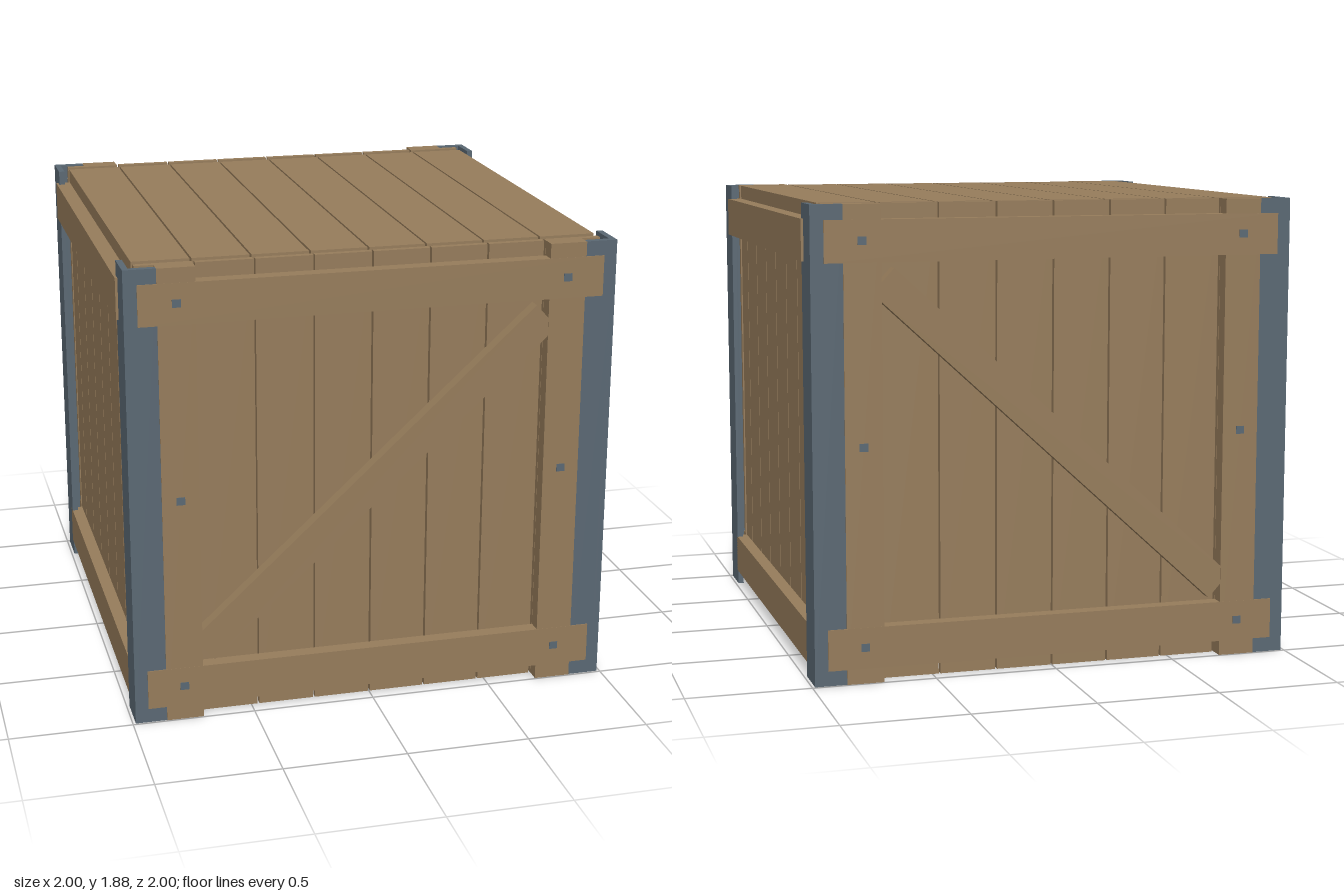
import * as THREE from 'three';

export function createModel() {
  const wood = new THREE.MeshStandardMaterial({ color: 0x967c5b });
  wood.name = 'brown wood';
  const metal = new THREE.MeshStandardMaterial({ color: 0x5a6873 });
  metal.name = 'grey steel';
  const crate = new THREE.Group();
  crate.name = 'crate';

  // box given by its minimum and maximum on each axis
  function block(name, material, [x0, x1], [y0, y1], [z0, z1]) {
    const mesh = new THREE.Mesh(new THREE.BoxGeometry(x1 - x0, y1 - y0, z1 - z0), material);
    mesh.position.set((x0 + x1) / 2, (y0 + y1) / 2, (z0 + z1) / 2);
    mesh.name = name;
    crate.add(mesh);
    return mesh;
  }
  // range lying on the positive or negative side of an axis
  const side = (s, a, b) => (s > 0 ? [a, b] : [-b, -a]);

  const H = 1.88, pitch = 0.235, gap = 0.004;
  const face = 0.937; // outer surface of the planks
  // the eight plank spans across a face, the outer ones trimmed to the limit
  function spans(limit) {
    const list = [];
    for (let i = -4; i < 4; i++) {
      list.push([Math.max(i * pitch + gap, -limit), Math.min((i + 1) * pitch - gap, limit)]);
    }
    return list;
  }

  // inner box behind the planks, raised off the ground
  block('innerBox', wood, [-0.87, 0.87], [0.06, 1.82], [-0.87, 0.87]);

  // lid planks
  for (const x of spans(face)) block('lidPlank', wood, x, [1.82, H], [-0.87, 0.87]);

  for (const s of [1, -1]) {
    // wall planks: end panels stand slightly clear of the box
    for (const x of spans(face)) block('endPlank', wood, x, [0, H], side(s, 0.91, face));
    for (const z of spans(0.87)) block('sidePlank', wood, side(s, 0.875, face), [0, 1.82], z);

    // horizontal battens
    for (const y of [[0.06, 0.225], [1.655, 1.82]]) {
      block('endBatten', wood, [-0.935, 0.935], y, side(s, face, 0.996));
    }
    block('lowerSideBatten', wood, side(s, face, 0.988), [0.06, 0.225], [-0.87, 0.87]);
    block('upperSideBatten', wood, side(s, face, 0.998), [1.655, 1.82], [-0.87, 0.87]);

    // diagonal brace, running up toward +x on both ends
    const brace = block('diagonalBrace', wood, [-0.955, 0.955], [0.875, 1.005], side(s, face, 0.993));
    brace.rotation.z = 0.742;

    for (const t of [1, -1]) {
      // upright posts of the end frames
      block('endPost', wood, side(t, 0.71, 0.86), [0, H], side(s, face, 0.995));

      // square bolt heads
      for (const y of [0.145, 0.94, 1.74]) {
        block('boltHead', metal, side(t, 0.768, 0.803), [y - 0.016, y + 0.016], side(s, 0.992, 0.9975));
      }

      // L-shaped steel corner
      block('cornerEndLeg', metal, side(t, 0.86, 0.988), [0, H], side(s, 0.965, 0.992));
      block('cornerSideLeg', metal, side(t, 0.963, 0.988), [0, H], side(s, 0.83, 0.992));
    }
  }
  return crate;
}
